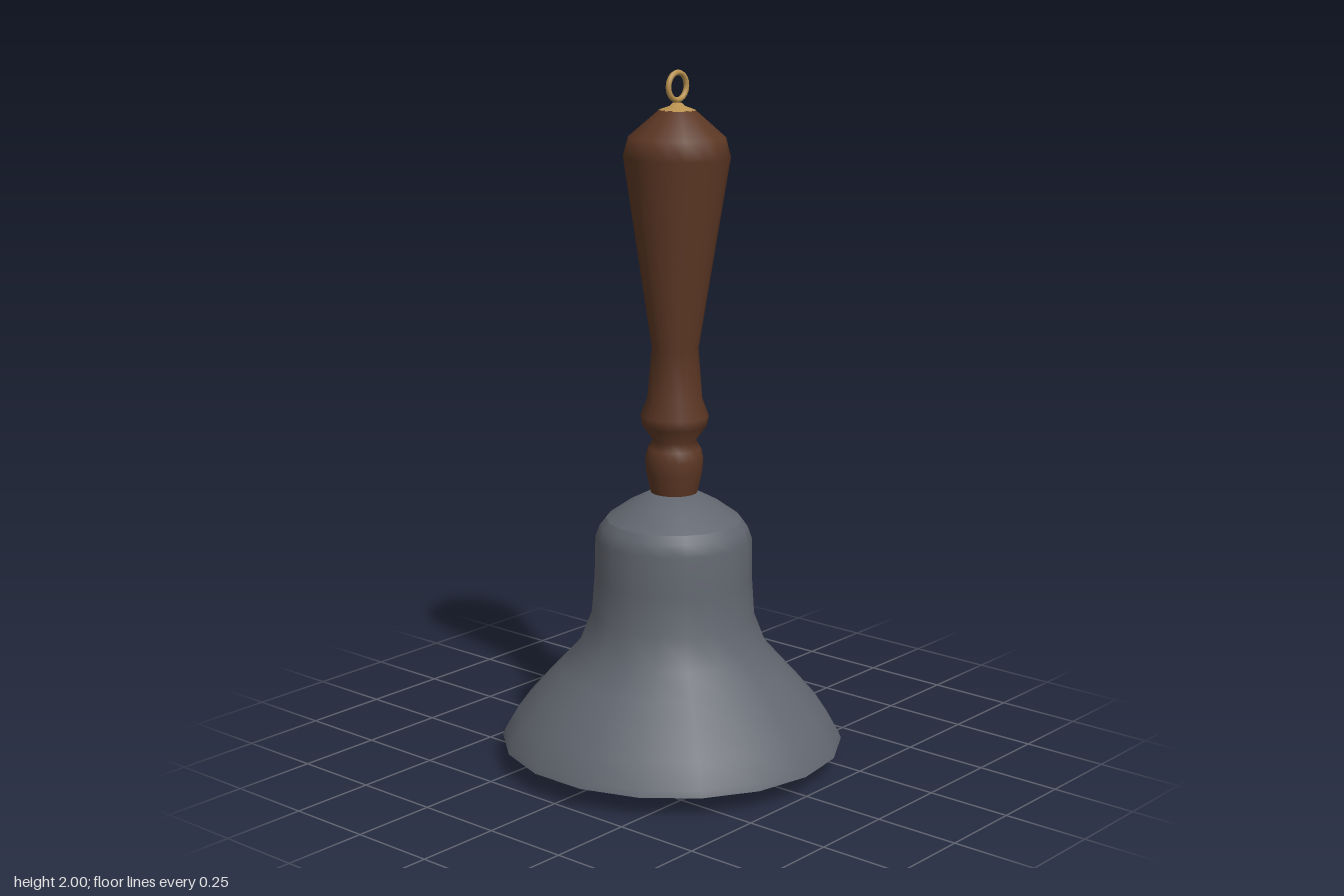
import * as THREE from 'three';

export function createModel() {
  const metal = new THREE.MeshStandardMaterial({ color: 0x62666f });
  metal.name = 'greyMetal';
  const wood = new THREE.MeshStandardMaterial({ color: 0x5c3724 });
  wood.name = 'brownWood';
  const brass = new THREE.MeshStandardMaterial({ color: 0xb8914f });
  brass.name = 'brass';

  const model = new THREE.Group();
  model.name = 'handBell';
  // the whole bell leans very slightly to +x
  model.rotation.z = -0.0125;

  const add = (name, geometry, material, y = 0) => {
    const mesh = new THREE.Mesh(geometry, material);
    mesh.name = name;
    mesh.position.y = y;
    model.add(mesh);
    return mesh;
  };
  // turned part from [radius, height] pairs; rising profiles face outward
  const turn = (name, profile, material, sides = 18) =>
    add(name, new THREE.LatheGeometry(profile.map(([r, y]) => new THREE.Vector2(r, y)), sides), material);

  // bell: outer wall, crown, rim and hollow inside
  turn('bellWall', [
    [0.495, 0.06], [0.487, 0.08], [0.45, 0.145], [0.385, 0.22], [0.33, 0.28], [0.272, 0.345],
    [0.235, 0.44], [0.227, 0.55], [0.225, 0.665], [0.212, 0.7], [0.195, 0.722],
  ], metal);
  turn('bellCrown', [[0.195, 0.722], [0.13, 0.768], [0.065, 0.802], [0, 0.805]], metal);
  turn('bellRim', [[0.48, 0.062], [0.495, 0.06]], metal);
  turn('bellInside', [
    [0, 0.74], [0.17, 0.7], [0.205, 0.65], [0.207, 0.55], [0.215, 0.44],
    [0.25, 0.345], [0.36, 0.22], [0.43, 0.145], [0.48, 0.062],
  ], metal);

  // clapper
  add('clapperRod', new THREE.CylinderGeometry(0.04, 0.04, 0.6, 12), metal, 0.45);
  add('clapperBall', new THREE.SphereGeometry(0.095, 18, 12), metal, 0.099);

  // turned wooden handle
  turn('handle', [
    [0.066, 0.795], [0.08, 0.86], [0.083, 0.9], [0.076, 0.93], [0.062, 0.953], [0.092, 0.995],
    [0.097, 1.025], [0.078, 1.075], [0.066, 1.22], [0.15, 1.76], [0.136, 1.815], [0.05, 1.89],
  ], wood);

  // brass cap and hanging ring
  turn('cap', [[0.052, 1.889], [0.022, 1.9], [0.014, 1.908], [0, 1.91]], brass);
  add('ring', new THREE.TorusGeometry(0.038, 0.008, 8, 20), brass, 1.954);

  const group = new THREE.Group();
  group.add(model);
  return group;
}
